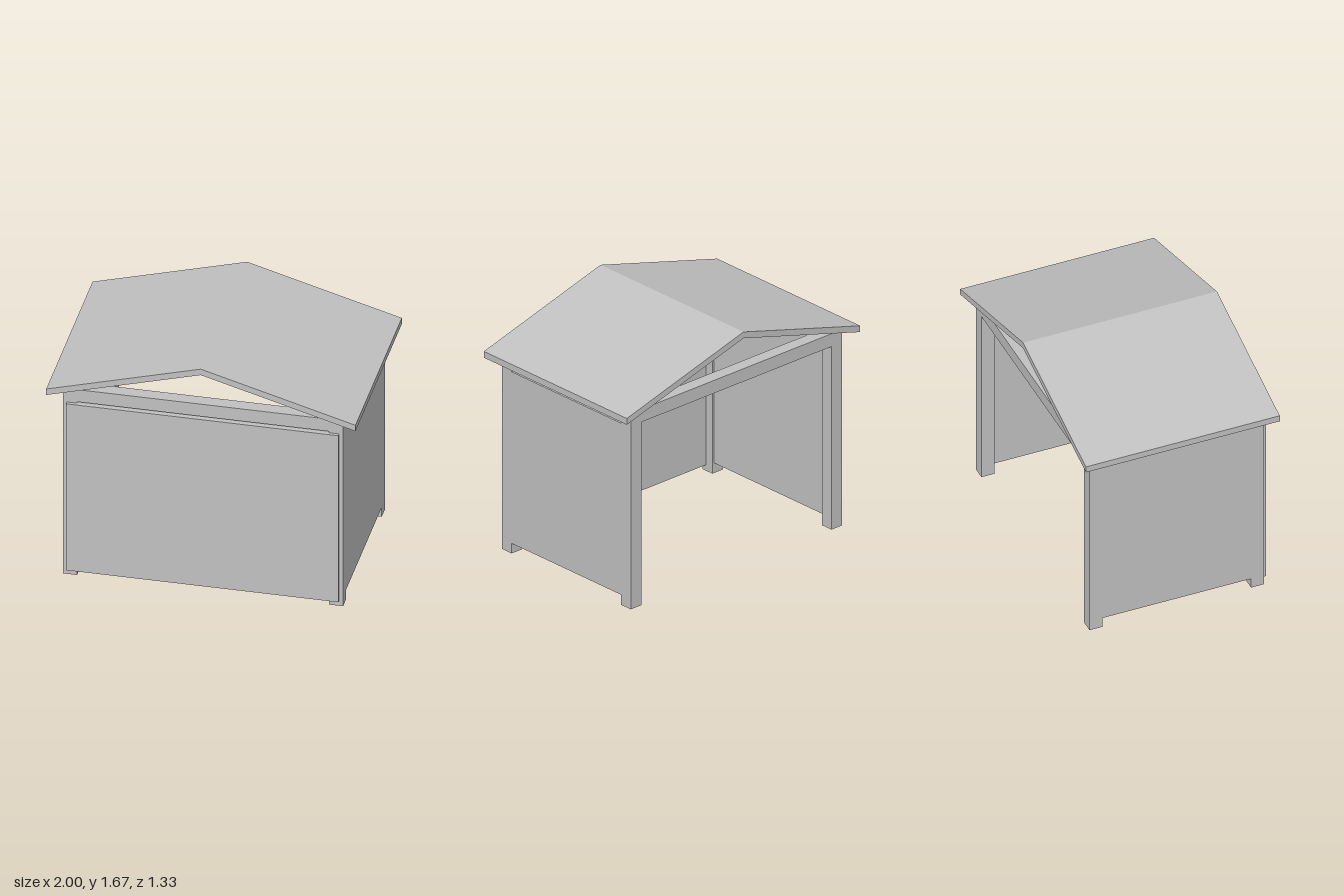
import * as THREE from 'three';

export function createModel() {
  const model = new THREE.Group();
  model.name = 'shelter';
  const grey = new THREE.MeshStandardMaterial({ color: 0xc0c0c0 });
  grey.name = 'plain grey';

  // Box given by its minimum and maximum corners
  function box(name, [x0, y0, z0], [x1, y1, z1]) {
    const mesh = new THREE.Mesh(new THREE.BoxGeometry(x1 - x0, y1 - y0, z1 - z0), grey);
    mesh.position.set((x0 + x1) / 2, (y0 + y1) / 2, (z0 + z1) / 2);
    mesh.name = name;
    model.add(mesh);
  }

  const outerX = 0.905, innerX = 0.815, outerZ = 0.6, innerZ = 0.51;

  // Four corner posts and the beams joining them front and back
  for (const [end, s] of [['front', 1], ['back', -1]]) {
    const z0 = Math.min(s * innerZ, s * outerZ);
    const z1 = Math.max(s * innerZ, s * outerZ);
    box(end + 'LeftPost', [innerX, 0, z0], [outerX, 1.38, z1]);
    box(end + 'RightPost', [-outerX, 0, z0], [-innerX, 1.38, z1]);
    box(end + 'Beam', [-innerX, 1.28, z0], [innerX, 1.37, z1]);
  }

  // Side walls, flush with the outside of the posts
  box('leftWall', [0.83, 0.07, -innerZ], [outerX, 1.27, innerZ]);
  box('rightWall', [-outerX, 0.07, -innerZ], [-0.83, 1.27, innerZ]);

  // Front panel, standing slightly proud of the posts; the back stays open
  box('frontPanel', [-0.88, 0.04, 0.57], [0.88, 1.27, 0.623]);

  // Gabled roof sheet
  const gable = new THREE.Shape([
    [-1, 1.345], [0, 1.626], [1, 1.345], [1, 1.389], [0, 1.67], [-1, 1.389],
  ].map(([x, y]) => new THREE.Vector2(x, y)));
  const depth = 1.332;
  const roof = new THREE.Mesh(
    new THREE.ExtrudeGeometry(gable, { depth, bevelEnabled: false }), grey);
  roof.position.z = -depth / 2;
  roof.name = 'roof';
  model.add(roof);

  return model;
}
